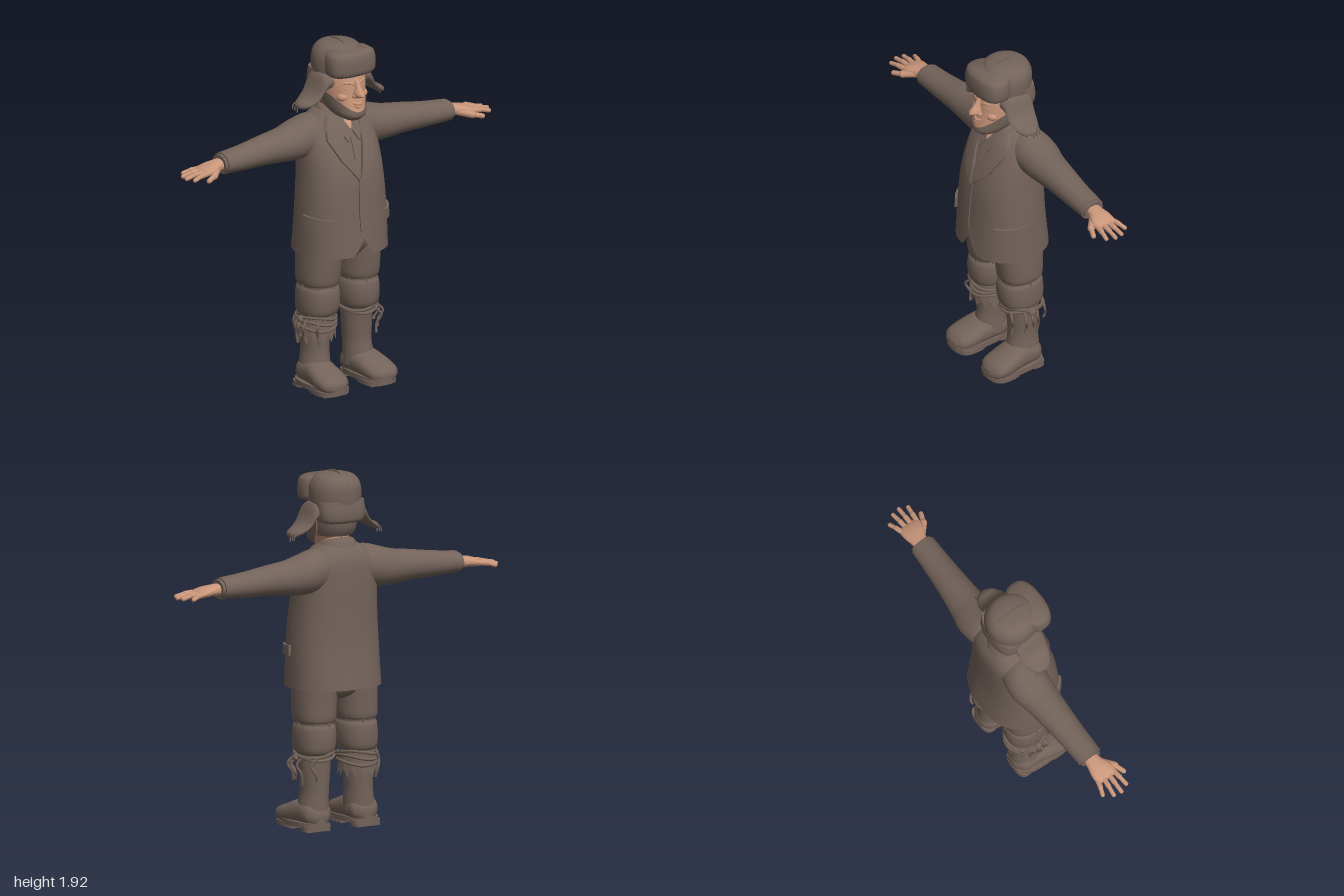
import * as THREE from 'three';
import { toCreasedNormals } from 'three/addons/utils/BufferGeometryUtils.js';

const V = (x, y, z) => new THREE.Vector3(x, y, z);
const power = (c, e) => Math.sign(c) * Math.abs(c) ** (2 / e);

// Smooth interpolation of section rows [t, centreU, centreV, radiusU, radiusV]
function section(rows, t) {
  let i = 0;
  while (i < rows.length - 2 && t > rows[i + 1][0]) i++;
  const a = rows[i], b = rows[i + 1], d = b[0] - a[0], k = (t - a[0]) / d;
  const slope = (j, c) => {
    const p = rows[Math.max(j - 1, 0)], q = rows[Math.min(j + 1, rows.length - 1)];
    return (q[c] - p[c]) / (q[0] - p[0]);
  };
  return a.map((_, c) => (2 * k ** 3 - 3 * k * k + 1) * a[c] + (k ** 3 - 2 * k * k + k) * d * slope(i, c)
    + (3 * k * k - 2 * k ** 3) * b[c] + (k ** 3 - k * k) * d * slope(i + 1, c));
}
// Point on a lofted surface at position t along the axis and angle a around it
function surf(rows, t, a, { axis = 'y', e = 2, s = 1, out = 0 } = {}) {
  const [, cu, cv, ru, rv] = section(rows, t);
  const u = cu + (Math.max(ru, 0.001) + out) * power(Math.cos(a), e);
  const v = cv + (Math.max(rv, 0.001) + out) * power(Math.sin(a), e);
  return axis === 'y' ? V(u * s, t, v) : axis === 'x' ? V(t * s, u, v) : V(u * s, v, t);
}
function build(points, index, crease = 0.9) {
  const g = new THREE.BufferGeometry().setFromPoints(points);
  g.setIndex(index);
  return toCreasedNormals(g, crease);
}
// Lofted solid; the winding is flipped whenever the volume comes out negative
function loft(rows, o = {}) {
  const { n = 32, caps = true, rule, sub = 4 } = o, pts = [], idx = [], ts = [];
  rows.forEach((r, i) => {
    for (let k = 0; i < rows.length - 1 && k < sub; k++) ts.push(r[0] + (rows[i + 1][0] - r[0]) * k / sub);
  });
  ts.push(rows.at(-1)[0]);
  for (const t of ts) for (let j = 0; j < n; j++) pts.push(surf(rows, t, j / n * Math.PI * 2, o));
  for (let i = 0; i < ts.length - 1; i++) for (let j = 0; j < n; j++) {
    const a = i * n + j, b = i * n + (j + 1) % n;
    idx.push(a, b, a + n, b, b + n, a + n);
  }
  if (caps) for (const end of [0, ts.length - 1]) {
    const c = pts.length, mid = V(0, 0, 0);
    for (let j = 0; j < n; j++) mid.addScaledVector(pts[end * n + j], 1 / n);
    pts.push(mid);
    for (let j = 0; j < n; j++) {
      const a = end * n + j, b = end * n + (j + 1) % n;
      idx.push(...(end ? [c, a, b] : [c, b, a]));
    }
  }
  const centre = pts[0].clone().add(pts[pts.length - 2]).multiplyScalar(0.5);
  let vol = 0;
  for (let i = 0; i < idx.length; i += 3) {
    const [a, b, c] = [0, 1, 2].map(k => pts[idx[i + k]].clone().sub(centre));
    vol += a.dot(b.cross(c));
  }
  if (vol < 0) idx.reverse();
  if (rule) pts.forEach(rule);
  return build(pts, idx);
}
function grid(fn, nu, nv) {
  const pts = [], idx = [];
  for (let i = 0; i <= nu; i++) for (let j = 0; j <= nv; j++) pts.push(fn(i / nu, j / nv, i, j));
  for (let i = 0; i < nu; i++) for (let j = 0; j < nv; j++) {
    const a = i * (nv + 1) + j, b = a + nv + 1;
    idx.push(a, b, a + 1, b, b + 1, a + 1);
  }
  return build(pts, idx);
}
// Raised patch whose border dips below the surface it lies on
function patch(fn, h, nu = 12, nv = 5) {
  const clamp = (i, n) => Math.min(Math.max(i - 1, 0), n - 2) / (n - 2);
  return grid((_, __, i, j) => fn(clamp(i, nu), clamp(j, nv),
    i === 0 || j === 0 || i === nu || j === nv ? -0.012 : h), nu, nv);
}
const tube = (pts, r, n = 16, closed = false) =>
  new THREE.TubeGeometry(new THREE.CatmullRomCurve3(pts.map(p => V(...p)), closed), n, r, 7, closed);

export function createModel() {
  const model = new THREE.Group();
  const cloth = new THREE.MeshStandardMaterial({ color: 0x73635a, side: THREE.DoubleSide });
  const skin = new THREE.MeshStandardMaterial({ color: 0xc9967a, side: THREE.DoubleSide });
  const add = (name, geo, mat = cloth, pos) => {
    const m = new THREE.Mesh(geo, mat);
    m.name = name;
    if (pos) m.position.set(...pos);
    model.add(m);
    return m;
  };
  const blob = (name, pos, scale, mat) => add(name, new THREE.SphereGeometry(1, 16, 12), mat, pos).scale.set(...scale);
  const limb = (name, p, q, r, mat) => {
    const a = V(...p), b = V(...q), d = b.clone().sub(a);
    const m = add(name, new THREE.CapsuleGeometry(r, d.length(), 4, 10), mat, a.clone().add(b).multiplyScalar(0.5).toArray());
    m.quaternion.setFromUnitVectors(V(0, 1, 0), d.normalize());
  };

  // Jacket body, with the hem cut away at the front opening
  const jacket = [[0.765, 0, 0, 0.255, 0.22], [1, 0, 0.005, 0.248, 0.2], [1.2, 0, -0.003, 0.235, 0.188],
    [1.35, 0, -0.028, 0.225, 0.163], [1.45, 0, -0.05, 0.2, 0.133], [1.51, 0, -0.055, 0.14, 0.1], [1.54, 0, -0.045, 0.085, 0.08]];
  const e = 2.4;
  add('jacket', loft(jacket, {
    e, n: 64, caps: false, rule: p => {
      if (p.z > 0 && p.y < 0.9) p.y += 0.1 * Math.exp(-((p.x / 0.035) ** 2)) * (0.9 - p.y) / 0.135;
    },
  }));
  const front = (x, y, off) => {
    const [, , cz, rx, rz] = section(jacket, y);
    return V(x, y, cz + rz * (1 - Math.min(Math.abs(x) / rx, 1) ** e) ** (1 / e) + off);
  };
  // Patch draped on the chest between two polylines
  const along = (line, u) => {
    const f = u * (line.length - 1), i = Math.min(Math.floor(f), line.length - 2), k = f - i;
    return [0, 1].map(c => line[i][c] * (1 - k) + line[i + 1][c] * k);
  };
  const drape = (name, a, b, h, mat = cloth, s = 1) => add(name, patch((u, v, off) => {
    const p = along(a, u), q = along(b, u);
    return front(s * (p[0] + (q[0] - p[0]) * v), p[1] + (q[1] - p[1]) * v, off);
  }, h, 18, 7), mat);
  drape('throat', [[-0.04, 1.53], [-0.035, 1.5], [-0.002, 1.44]], [[0.04, 1.53], [0.035, 1.5], [0.002, 1.44]], 0.012, skin);
  drape('shirtPlacket', [[-0.012, 1.44], [-0.022, 1.2]], [[0.012, 1.44], [0.002, 1.2]], 0.006);
  drape('frontEdge', [[-0.014, 1.18], [-0.022, 1], [-0.018, 0.9]], [[0.0, 1.18], [-0.008, 1], [-0.004, 0.9]], 0.006);
  for (const s of [1, -1]) {
    drape('shirtCollar', [[0.03, 1.53], [0.022, 1.47], [0.004, 1.44]], [[0.08, 1.52], [0.07, 1.44], [0.035, 1.38]], 0.014, cloth, s);
    drape('lapel', [[0.07, 1.5], [0.06, 1.42], [0.04, 1.34], [0.02, 1.27], [-0.008 * s, 1.18]],
      [[0.105, 1.515], [0.14, 1.44], [0.15, 1.4], [0.1, 1.29], [0.006 - 0.008 * s, 1.18]], 0.016, cloth, s);
    drape('upperCollar', [[0.07, 1.525], [0.065, 1.46]], [[0.11, 1.51], [0.15, 1.445]], 0.02, cloth, s);
    add('pocketFlap', patch((u, v, off) => surf(jacket, 0.925 + 0.055 * v + 0.012 * (1 - u), 0.05 + 0.87 * u, { e, s, out: off }), 0.013, 14, 5));
  }
  // Standing collar around the neck
  add('collar', grid((u, v) => {
    const a = (u - 0.5) * 4.6, r = 0.078 + 0.042 * v;
    return V(r * Math.sin(a), 1.572 - 0.024 * (1 - Math.cos(a)) - 0.055 * v * v, -0.03 - (r + 0.005) * Math.cos(a));
  }, 28, 5));

  // Head
  const head = [[1.505, 0, 0.11, 0.035, 0.04], [1.53, 0, 0.078, 0.075, 0.095], [1.58, 0, 0.03, 0.102, 0.137],
    [1.65, 0, 0.012, 0.114, 0.145], [1.72, 0, 0.008, 0.117, 0.143], [1.8, 0, 0, 0.115, 0.13]];
  add('head', loft(head, { e: 2.2, n: 40 }), skin);
  add('neck', loft([[1.44, 0, -0.035, 0.075, 0.08], [1.6, 0, -0.015, 0.072, 0.085]]), skin);
  add('nose', loft([[1.632, 0, 0.15, 0.018, 0.025], [1.65, 0, 0.165, 0.027, 0.05], [1.69, 0, 0.15, 0.015, 0.037],
    [1.735, 0, 0.135, 0.013, 0.018]], { n: 16 }), skin);
  add('upperLip', tube([[-0.045, 1.612, 0.138], [0, 1.598, 0.168], [0.045, 1.612, 0.138]], 0.009), skin);
  add('lowerLip', tube([[-0.038, 1.598, 0.14], [0, 1.582, 0.168], [0.038, 1.598, 0.14]], 0.009), skin);
  add('beard', grid((u, v) => {
    const a = Math.PI / 2 + (u - 0.5) * 3.5, top = 1.555 + 0.1 * Math.cos(a) ** 2;
    return surf(head, 1.506 + (top - 1.506) * v, a, { e: 2.2, out: 0.006 });
  }, 36, 8));
  add('hair', grid((u, v) => surf(head, 1.575 + 0.16 * v, -Math.PI / 2 + (u - 0.5) * 2.6, { e: 2.2, out: 0.009 }), 28, 6));
  for (const s of [1, -1]) {
    blob('cheek', [s * 0.06, 1.635, 0.108], [0.036, 0.028, 0.035], skin);
    blob('eye', [s * 0.047, 1.683, 0.127], [0.022, 0.011, 0.016], skin);
    add('brow', tube([[s * 0.015, 1.705, 0.148], [s * 0.05, 1.715, 0.136], [s * 0.088, 1.7, 0.1]], 0.009), skin);
    blob('nostril', [s * 0.02, 1.643, 0.16], [0.013, 0.012, 0.017], skin);
  }

  // Fur hat: crown, turned-up front, neck flap, ear flaps with strings
  add('hatCrown', loft([[1.745, 0, -0.02, 0.137, 0.14], [1.8, 0, -0.02, 0.14, 0.143], [1.85, 0, -0.02, 0.133, 0.138],
    [1.89, 0, -0.02, 0.105, 0.11], [1.906, 0, -0.02, 0.06, 0.065], [1.91, 0, -0.02, 0.01, 0.01]], { n: 40 }));
  add('hatSeam', tube([[0, 1.8, -0.163], [0, 1.87, -0.145], [0, 1.908, -0.07], [0, 1.912, 0.02], [0, 1.88, 0.1]], 0.005));
  add('hatFront', loft([[1.752, 0, 0.095, 0.125, 0.07], [1.765, 0, 0.095, 0.14, 0.083], [1.82, 0, 0.095, 0.145, 0.086],
    [1.868, 0, 0.09, 0.136, 0.082], [1.884, 0, 0.085, 0.115, 0.068]], { e: 2.6, n: 40 }));
  add('hatNeckFlap', loft([[1.65, 0, -0.085, 0.11, 0.06], [1.662, 0, -0.08, 0.13, 0.078], [1.71, 0, -0.08, 0.138, 0.082],
    [1.765, 0, -0.07, 0.135, 0.085]], { e: 2.4, n: 40 }));
  for (const s of [1, -1]) {
    add('earFlap', loft([[0.1, 1.715, 0, 0.05, 0.09], [0.145, 1.7, 0, 0.05, 0.088], [0.18, 1.645, 0, 0.028, 0.083],
      [0.22, 1.612, 0, 0.02, 0.072], [0.255, 1.597, 0, 0.021, 0.052], [0.275, 1.593, 0, 0.01, 0.025]], { axis: 'x', s, n: 24 }));
    for (const z of [-0.05, -0.03, -0.008])
      add('earString', tube([[s * 0.255, 1.6, z], [s * 0.27, 1.585, z], [s * 0.272, 1.557 - z * 0.2, z]], 0.004, 6));
  }

  for (const s of [1, -1]) {
    // Sleeves and cuffs
    add('sleeve', loft([[0.08, 1.405, -0.06, 0.1, 0.095], [0.16, 1.4, -0.065, 0.116, 0.112], [0.25, 1.385, -0.07, 0.107, 0.113],
      [0.33, 1.376, -0.065, 0.094, 0.1], [0.45, 1.372, -0.06, 0.081, 0.087], [0.6, 1.362, -0.054, 0.068, 0.076],
      [0.74, 1.357, -0.05, 0.058, 0.07]], { axis: 'x', s }));
    add('cuff', loft([[0.73, 1.357, -0.05, 0.052, 0.062], [0.755, 1.356, -0.05, 0.05, 0.06]], { axis: 'x', s, sub: 1 }));
    // Hands
    add('palm', loft([[0.74, 1.355, -0.05, 0.033, 0.04], [0.78, 1.353, -0.048, 0.03, 0.046], [0.83, 1.348, -0.042, 0.027, 0.062],
      [0.875, 1.34, -0.04, 0.02, 0.064], [0.89, 1.337, -0.04, 0.012, 0.055]], { axis: 'x', s, e: 2.3 }), skin);
    [[-0.088, -0.115, 0.945], [-0.057, -0.068, 0.98], [-0.025, -0.024, 0.988], [0.008, 0.022, 0.968]].forEach(([z0, z1, x1]) => {
      const mid = [s * (0.87 + x1) / 2, 1.338, (z0 + z1) / 2];
      limb('finger', [s * 0.86, 1.342, z0], mid, 0.0145, skin);
      limb('fingertip', mid, [s * x1, 1.326, z1], 0.012, skin);
    });
    limb('thumb', [s * 0.79, 1.345, -0.02], [s * 0.85, 1.33, 0.035], 0.02, skin);
    limb('thumbTip', [s * 0.85, 1.33, 0.035], [s * 0.9, 1.318, 0.056], 0.014, skin);

    // Padded trousers, gathered at the knee
    add('trouserLeg', loft([[0.405, 0.135, -0.025, 0.08, 0.09], [0.425, 0.133, -0.023, 0.1, 0.116], [0.5, 0.13, -0.02, 0.108, 0.126],
      [0.56, 0.13, -0.02, 0.103, 0.12], [0.575, 0.13, -0.02, 0.095, 0.112], [0.595, 0.13, -0.02, 0.106, 0.122],
      [0.68, 0.128, -0.016, 0.11, 0.13], [0.82, 0.12, -0.012, 0.115, 0.14]], { s, e: 2.3 }));
    for (let i = 0; i < 7; i++) {
      const a = i * 0.9, c = Math.cos(a), d = Math.sin(a);
      add('fold', tube([0.53, 0.575, 0.64].map((y, k) => [s * (0.13 + (k === 1 ? 0.098 : 0.103) * c), y, -0.02 + (k === 1 ? 0.114 : 0.121) * d]), 0.006, 6));
    }
    // Boots
    add('bootShaft', loft([[0.08, 0.145, -0.03, 0.085, 0.09], [0.14, 0.142, -0.03, 0.08, 0.09], [0.21, 0.138, -0.034, 0.075, 0.084],
      [0.3, 0.137, -0.035, 0.081, 0.087], [0.43, 0.136, -0.03, 0.088, 0.095]], { s }));
    add('bootFoot', loft([[-0.122, 0.146, 0.075, 0.04, 0.035], [-0.085, 0.147, 0.09, 0.08, 0.065], [0, 0.15, 0.095, 0.086, 0.075],
      [0.06, 0.155, 0.088, 0.09, 0.068], [0.13, 0.16, 0.075, 0.094, 0.053], [0.19, 0.162, 0.064, 0.08, 0.042],
      [0.218, 0.162, 0.056, 0.04, 0.022]], { axis: 'z', s, e: 2.3 }));
    const plate = (name, z0, z1, w, y0, y1) => add(name, loft([[y0, 0.155, (z0 + z1) / 2, w, (z1 - z0) / 2],
      [y1, 0.155, (z0 + z1) / 2, w, (z1 - z0) / 2]], { s, e: 2.8, sub: 1 }));
    plate('sole', -0.125, 0.222, 0.094, 0.022, 0.05);
    plate('heel', -0.125, -0.025, 0.082, 0.004, 0.035);
    plate('foreSole', 0.025, 0.212, 0.096, 0.01, 0.035);
    for (const z of [-0.1, -0.065, 0.06, 0.095, 0.13, 0.165])
      for (const x of [-0.04, 0.04]) add('tread', new THREE.BoxGeometry(0.065, 0.015, 0.018), cloth, [s * (0.155 + x), 0.0075, z]);
    // Ropes tied below the knee, with hanging ends
    (s > 0 ? [0.41, 0.395] : [0.4, 0.375, 0.345]).forEach((y, k) => add('rope', tube(Array.from({ length: 10 }, (_, i) => {
      const a = i / 10 * Math.PI * 2;
      return [s * (0.135 + 0.104 * Math.cos(a)), y + 0.012 * Math.sin(a * 2 + k), -0.028 + 0.114 * Math.sin(a)];
    }), 0.008, 40, true)));
    [[0.25, 0.02, 0.27], [0.255, -0.02, 0.3], [0.245, -0.06, 0.25], [0.2, 0.075, 0.26], [0.2, -0.135, 0.28]].forEach(([x, z, y]) =>
      add('ropeEnd', tube([[s * (x - 0.02), 0.4, z], [s * (x + 0.012), 0.36, z + 0.012], [s * (x - 0.008), 0.31, z - 0.006], [s * (x - 0.015), y, z]], 0.007, 12)));
    blob('ropeKnot', [s * 0.243, 0.395, -0.02], [0.018, 0.02, 0.022], cloth);
  }
  // Ragged cloth over the right boot
  add('raggedHem', grid((u, v, i) => {
    const a = u * Math.PI * 2, y = 0.415 - v * (0.1 + (i % 4 === 0 ? 0.05 : i % 2 ? 0.025 : 0));
    return V(-0.136 + (0.096 + 0.01 * v) * Math.cos(a), y, -0.03 + (0.104 + 0.01 * v) * Math.sin(a));
  }, 56, 4));
  // Seat of the trousers
  add('trouserSeat', loft([[0.7, 0, -0.015, 0.05, 0.07], [0.73, 0, -0.015, 0.13, 0.115], [0.8, 0, -0.01, 0.215, 0.15],
    [0.98, 0, 0, 0.22, 0.16]], { e: 2.3 }));
  return model;
}
